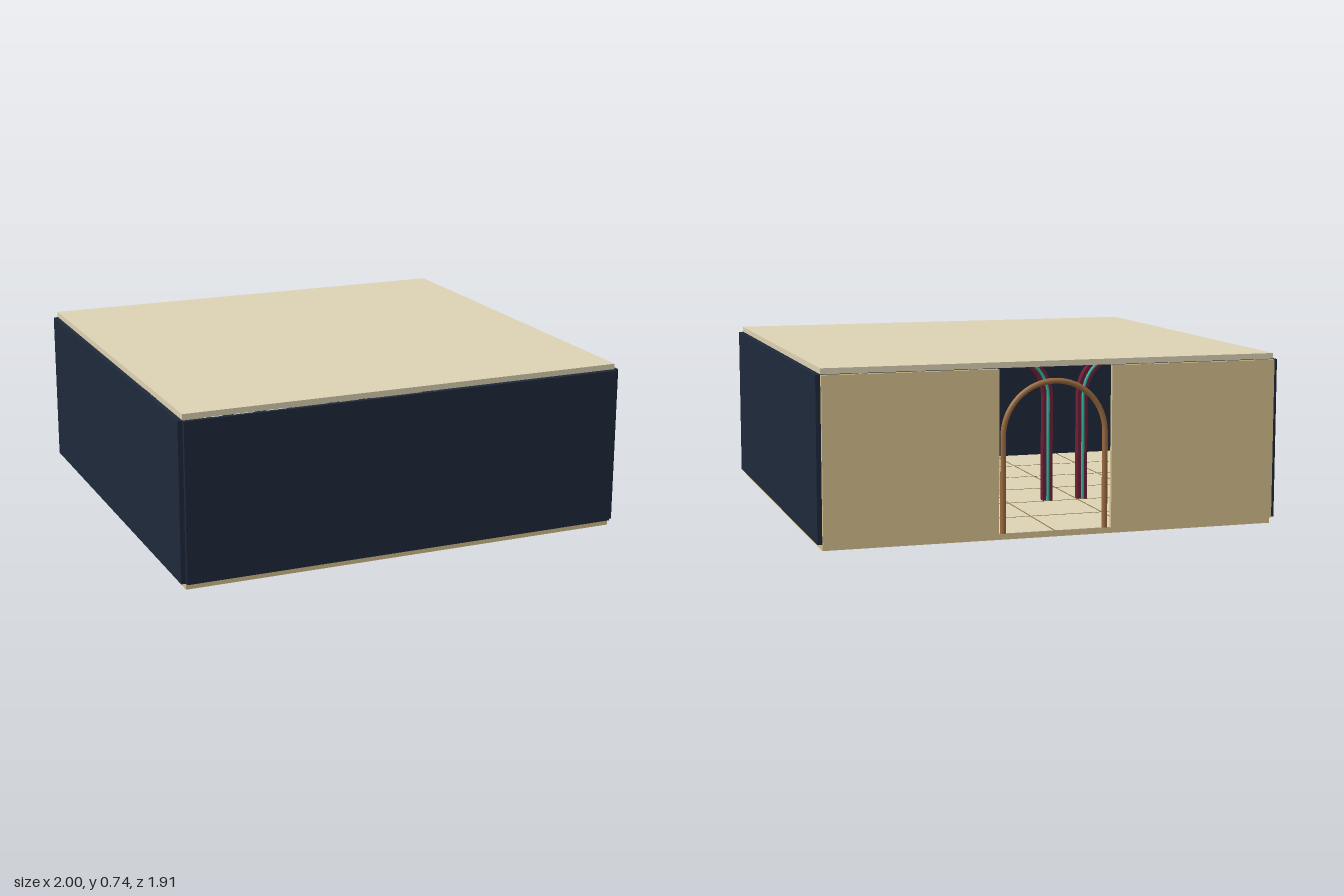
import * as THREE from 'three';

const mat = (color) => new THREE.MeshStandardMaterial({ color });
const navy = mat(0x1e293b), cream = mat(0xddd2b3), sand = mat(0xd4c08c);
const copper = mat(0x9a6b3f), grout = mat(0x8a7448), red = mat(0x6b1f35);
const teal = mat(0x2fb5a0), dark = mat(0x18202c);

function box(parent, name, material, x0, x1, y0, y1, z0, z1) {
  const mesh = new THREE.Mesh(new THREE.BoxGeometry(x1 - x0, y1 - y0, z1 - z0), material);
  mesh.position.set((x0 + x1) / 2, (y0 + y1) / 2, (z0 + z1) / 2);
  mesh.name = name;
  parent.add(mesh);
  return mesh;
}

// Round-headed arch of tubing: two posts and a half ring
function tubeArch(name, material, radius, tube, spring, base) {
  const arch = new THREE.Group();
  arch.name = name;
  const head = new THREE.Mesh(new THREE.TorusGeometry(radius, tube, 10, 32, Math.PI), material);
  head.position.y = spring;
  head.name = name + 'Head';
  arch.add(head);
  for (const side of [-1, 1]) {
    const post = new THREE.Mesh(new THREE.CylinderGeometry(tube, tube, spring - base, 10), material);
    post.position.set(side * radius, (spring + base) / 2, 0);
    post.name = name + 'Post';
    arch.add(post);
  }
  return arch;
}

// Flat arch frame cut from a slab
function slabArch(outer, inner, spring, base, depth) {
  const s = new THREE.Shape();
  s.moveTo(outer, base);
  s.lineTo(outer, spring);
  s.absarc(0, spring, outer, 0, Math.PI, false);
  s.lineTo(-outer, base);
  s.lineTo(-inner, base);
  s.lineTo(-inner, spring);
  s.absarc(0, spring, inner, Math.PI, 0, true);
  s.lineTo(inner, base);
  s.closePath();
  const g = new THREE.ExtrudeGeometry(s, { depth, bevelEnabled: false, curveSegments: 24 });
  return g.translate(0, 0, -depth / 2);
}

export function createModel() {
  const room = new THREE.Group();
  room.name = 'galleryRoom';
  const X = 0.98, Z = 0.937, floorY = 0.026, ceilY = 0.712;

  // Floor and ceiling slabs
  box(room, 'floor', sand, -X, X, 0, 0.024, -Z, Z);
  box(room, 'floorPaving', cream, -X, X, 0.024, floorY, -Z, Z);
  box(room, 'ceiling', cream, -X, X, ceilY, 0.736, -Z, Z);

  // Joints between the floor tiles
  for (let i = 1; i < 6; i++) {
    const x = -X + (i * 2 * X) / 6, z = -Z + (i * 2 * Z) / 6;
    box(room, 'tileJoint', grout, x - 0.003, x + 0.003, floorY, floorY + 0.001, -Z, Z);
    box(room, 'tileJoint', grout, -X, X, floorY, floorY + 0.001, z - 0.003, z + 0.003);
  }

  // Outer walls, with a full-height doorway at the back
  box(room, 'frontWall', navy, -X, X, 0.026, 0.71, Z, 0.955);
  for (const s of [-1, 1]) {
    const a = s * X, b = s;
    box(room, 'sideWall', navy, Math.min(a, b), Math.max(a, b), 0.026, 0.71, -Z, Z);
    const c = s * 0.245;
    box(room, 'backWall', sand, Math.min(a, c), Math.max(a, c), 0.026, 0.71, -0.955, -Z);
  }

  // Entrance arch
  const entrance = tubeArch('entranceArch', copper, 0.222, 0.012, 0.43, floorY);
  entrance.position.z = -0.935;
  room.add(entrance);

  // Three inner portals in a row
  for (const x of [-0.54, 0, 0.54]) {
    const portal = new THREE.Group();
    portal.name = 'portal';
    portal.position.set(x, 0, -0.285);
    const frame = new THREE.Mesh(slabArch(0.21, 0.165, 0.5, floorY, 0.036), red);
    frame.name = 'portalFrame';
    portal.add(frame);
    box(portal, 'portalCap', dark, -0.07, 0.07, 0.695, 0.711, -0.018, 0.018);
    for (const z of [-0.02, 0.02]) {
      const trim = tubeArch('portalTrim', teal, 0.187, 0.007, 0.5, floorY);
      trim.position.z = z;
      portal.add(trim);
    }
    room.add(portal);
  }
  return room;
}
